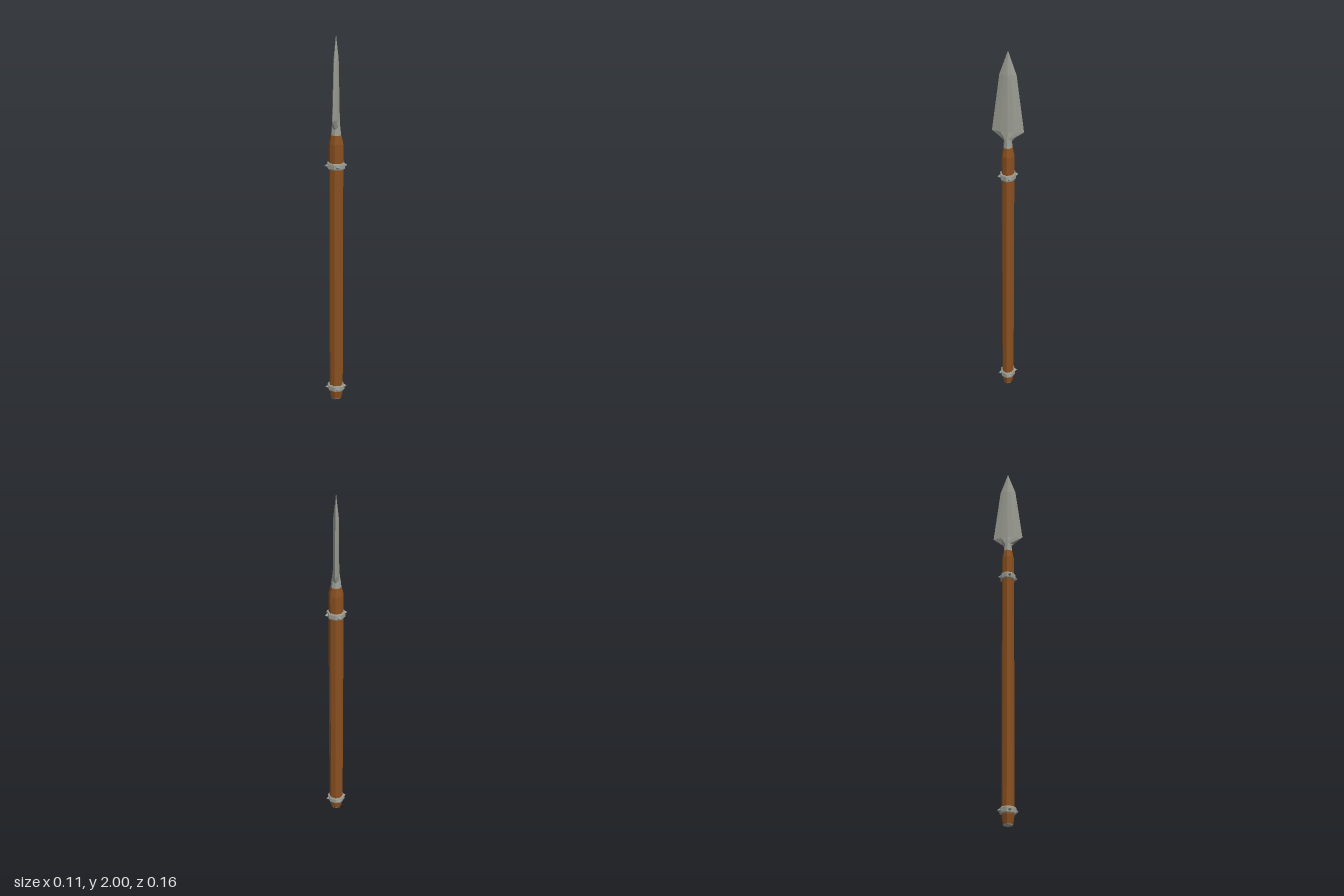
import * as THREE from 'three';

const wood = new THREE.MeshStandardMaterial({ color: 0x8a5020, flatShading: true });
const metal = new THREE.MeshStandardMaterial({ color: 0x9c9e94, flatShading: true });
const DEPTH = 0.86; // the haft is slightly narrower in z than in x

function addMesh(parent, name, geometry, material) {
  const mesh = new THREE.Mesh(geometry, material);
  mesh.name = name;
  parent.add(mesh);
  return mesh;
}

// Eight-sided loft through sections of [y, half width x, half width z].
// "diagonal" pulls the in-between corners inward in z for a ridged blade.
function loft(sections, diagonal = 1) {
  const rows = sections.length - 1;
  const geo = new THREE.CylinderGeometry(1, 1, 1, 8, rows);
  const p = geo.attributes.position;
  for (let i = 0; i < p.count; i++) {
    const [y, hx, hz] = sections[Math.round((p.getY(i) + 0.5) * rows)];
    const x = p.getX(i), z = p.getZ(i);
    const corner = Math.abs(x * z) > 0.1 ? diagonal : 1;
    p.setXYZ(i, x * hx, y, z * hz * corner);
  }
  const flat = geo.toNonIndexed();
  flat.computeVertexNormals();
  return flat;
}

const roundSections = (list) => list.map(([y, r]) => [y, r, r * DEPTH]);

// Metal collar with four pyramid studs on alternate faces
function createBand(y) {
  const band = new THREE.Group();
  band.name = 'band';
  addMesh(band, 'bandRing', loft(roundSections([
    [-0.016, 0.046], [-0.011, 0.048], [0.011, 0.048], [0.016, 0.046],
  ])), metal);
  for (let i = 0; i < 4; i++) {
    const angle = Math.PI / 8 + i * Math.PI / 2;
    const geo = new THREE.ConeGeometry(0.013, 0.018, 4);
    geo.rotateZ(-Math.PI / 2);
    geo.translate(0.051, 0, 0);
    geo.rotateY(angle);
    geo.scale(1, 1, 0.9);
    addMesh(band, 'stud', geo, metal);
  }
  band.position.y = y;
  return band;
}

export function createModel() {
  const spear = new THREE.Group();
  spear.name = 'spear';

  // Wooden haft, tapered at both ends
  addMesh(spear, 'haft', loft(roundSections([
    [0.004, 0.03], [0.05, 0.038], [1.455, 0.038], [1.5, 0.028],
  ])), wood);

  // Metal plate under the butt
  addMesh(spear, 'buttCap', loft(roundSections([[0, 0.028], [0.006, 0.03]])), metal);

  // Collars near both ends
  spear.add(createBand(0.07), createBand(1.34));

  // Socket joining the haft to the blade
  addMesh(spear, 'socket', loft([
    [1.495, 0.027, 0.024], [1.545, 0.022, 0.019],
  ]), metal);

  // Ridged leaf blade, broad in z and thin in x
  addMesh(spear, 'blade', loft([
    [1.53, 0.023, 0.02], [1.545, 0.021, 0.03], [1.585, 0.016, 0.08],
    [1.88, 0.013, 0.042], [2, 0.0004, 0.0004],
  ], 0.64), metal);

  return spear;
}
